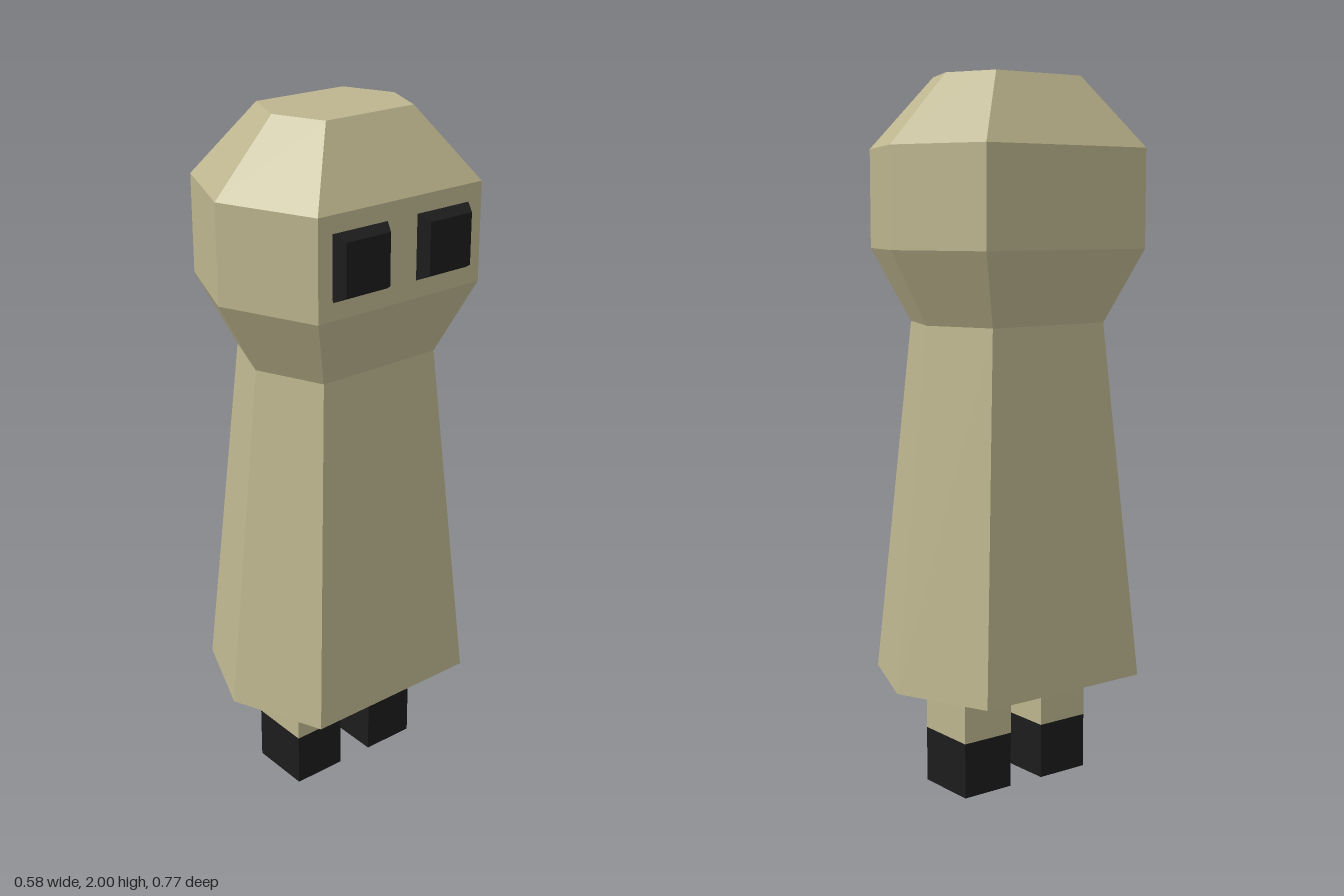
import * as THREE from 'three';

const CX = -0.017; // body axis in x
const khaki = new THREE.MeshStandardMaterial({ color: 0xbdb58e, flatShading: true });
const black = new THREE.MeshStandardMaterial({ color: 0x1c1c1c, flatShading: true });

// Elongated hexagon: flat sides at +x and -x, points at +z and -z
const HEX = [[0.273, -0.274], [0.273, 0.274], [0, 0.386], [-0.273, 0.274], [-0.273, -0.274], [0, -0.386]];

// Skin of stacked hexagons, each level given as [y, scale], with optional end caps
function hexLoft(levels, capBottom, capTop) {
  const pos = [];
  const rings = levels.map(([y, s]) => HEX.map(([x, z]) => [x * s, y, z * s]));
  const tri = (a, b, c) => pos.push(...a, ...b, ...c);
  for (let r = 0; r < rings.length - 1; r++) {
    for (let i = 0; i < 6; i++) {
      const j = (i + 1) % 6, lo = rings[r], hi = rings[r + 1];
      tri(lo[i], hi[i], lo[j]);
      tri(lo[j], hi[i], hi[j]);
    }
  }
  const bottom = rings[0], top = rings[rings.length - 1];
  for (let i = 1; i < 5; i++) {
    if (capBottom) tri(bottom[0], bottom[i], bottom[i + 1]);
    if (capTop) tri(top[0], top[i + 1], top[i]);
  }
  const geo = new THREE.BufferGeometry();
  geo.setAttribute('position', new THREE.Float32BufferAttribute(pos, 3));
  geo.computeVertexNormals();
  return geo;
}

export function createModel() {
  const model = new THREE.Group();
  const add = (name, geo, mat, x, y, z) => {
    const mesh = new THREE.Mesh(geo, mat);
    mesh.name = name;
    mesh.position.set(x, y, z);
    model.add(mesh);
  };

  // Flared robe and faceted head
  add('robe', hexLoft([[0.312, 0.984], [1.325, 0.706]], true, false), khaki, CX, 0, 0);
  add('head', hexLoft([[1.325, 0.706], [1.53, 1], [1.805, 1], [2, 0.53]], false, true), khaki, CX, 0, 0);

  // Square bevelled eye, facing +x
  const eyeGeo = new THREE.CylinderGeometry(0.143 / Math.SQRT2, 0.178 / Math.SQRT2, 0.033, 4)
    .rotateY(Math.PI / 4).rotateZ(-Math.PI / 2);
  const legGeo = new THREE.BoxGeometry(0.187, 0.154, 0.161);
  const shoeGeo = new THREE.BoxGeometry(0.187, 0.158, 0.161);

  // Paired eyes, legs and shoes
  for (const [side, s] of [['front', 1], ['back', -1]]) {
    add(side + 'Eye', eyeGeo, black, 0.2725, 1.668, s * 0.139);
    add(side + 'Leg', legGeo, khaki, CX, 0.235, s * 0.136);
    add(side + 'Shoe', shoeGeo, black, CX, 0.079, s * 0.136);
  }
  return model;
}
